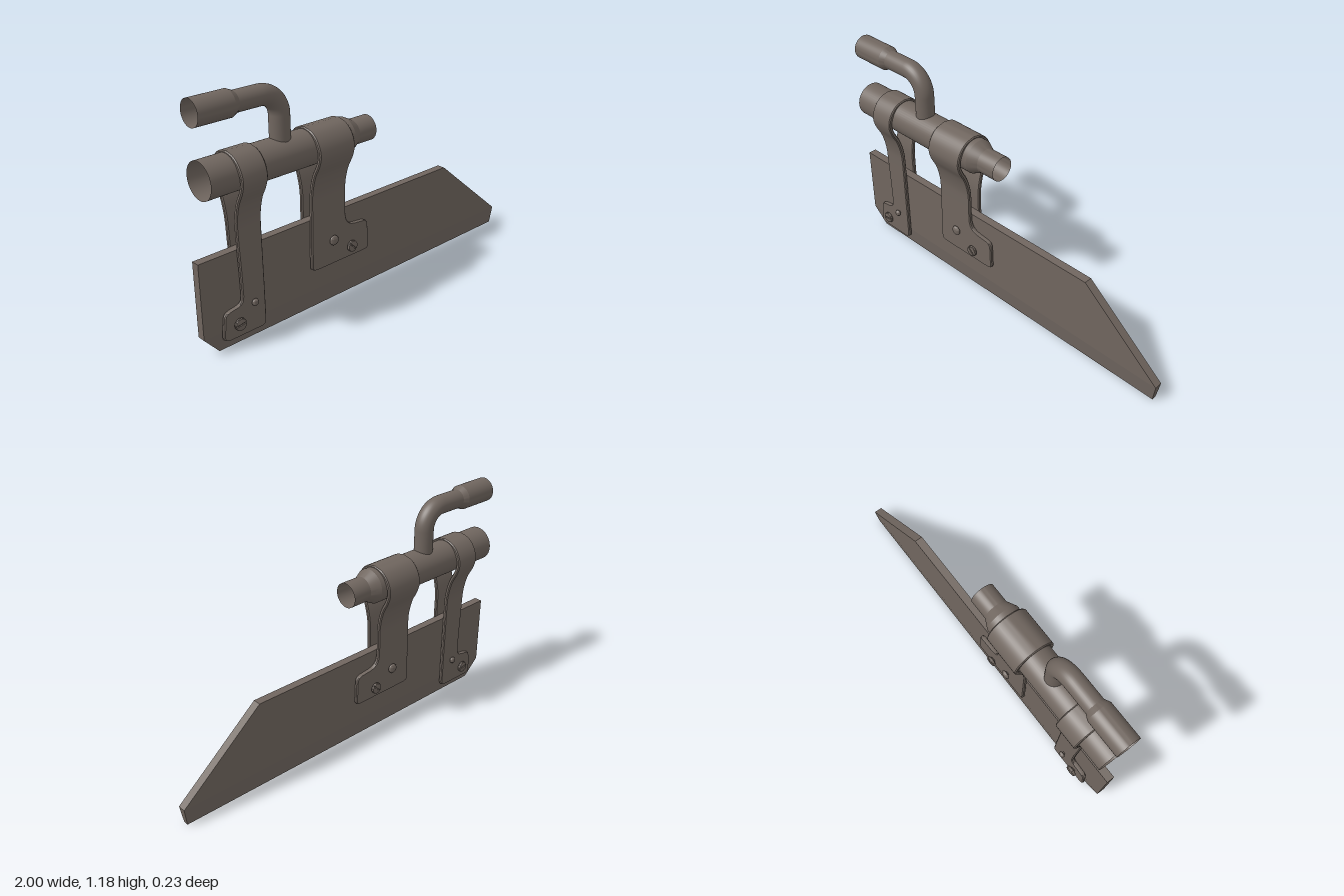
import * as THREE from 'three';
import { toCreasedNormals } from 'three/addons/utils/BufferGeometryUtils.js';

const V3 = (x, y, z) => new THREE.Vector3(x, y, z);
const V2 = (x, y) => new THREE.Vector2(x, y);
const steel = new THREE.MeshStandardMaterial({ color: 0x70665f });
const openSteel = new THREE.MeshStandardMaterial({ color: 0x70665f, side: THREE.DoubleSide });

function part(name, geometry, material = steel) {
  const mesh = new THREE.Mesh(geometry, material);
  mesh.name = name;
  return mesh;
}

// Round body along x from [x, radius] pairs
function pipe(profile) {
  const geo = new THREE.LatheGeometry(profile.map(([x, r]) => V2(r, x)), 48);
  return toCreasedNormals(geo.rotateZ(-Math.PI / 2), 0.35);
}

// Flat slab of the blade; the z half-thickness depends on height
function slab(points, halfAt) {
  const geo = new THREE.ExtrudeGeometry(new THREE.Shape(points.map(p => V2(...p))), { depth: 1, bevelEnabled: false });
  const pos = geo.attributes.position;
  for (let i = 0; i < pos.count; i++) pos.setZ(i, (pos.getZ(i) - 0.5) * 2 * halfAt(pos.getY(i)));
  return toCreasedNormals(geo, 0.1);
}

// Side profile of a strap, from above the pipe down to the flat leg
const bend = new THREE.CatmullRomCurve3([
  [0, 0.912], [0.05, 0.899], [0.086, 0.862], [0.102, 0.81], [0.09, 0.76],
  [0.062, 0.705], [0.046, 0.655], [0.036, 0.6], [0.034, 0.55],
].map(([z, y]) => V3(0, y, z)));

// Strap swept over the pipe; rows of [y, left edge, right edge] give its outline
function strap(rows) {
  const edges = y => {
    let i = 1;
    while (i < rows.length - 1 && rows[i][0] > y) i++;
    const a = rows[i - 1], b = rows[i];
    const t = THREE.MathUtils.clamp((a[0] - y) / (a[0] - b[0]), 0, 1);
    return [a[1] + (b[1] - a[1]) * t, a[2] + (b[2] - a[2]) * t];
  };
  const half = bend.getSpacedPoints(32).map(p => [p.z, p.y]);
  rows.filter(r => r[0] < 0.54).forEach(r => half.push([0.034, r[0]]));
  const path = [...half].reverse().concat(half.slice(1).map(([z, y]) => [-z, y]));

  const h = 0.0105, c = 0.005, n = 8, pos = [], index = [];
  path.forEach(([z, y], i) => {
    const p = path[Math.max(i - 1, 0)], q = path[Math.min(i + 1, path.length - 1)];
    const t = V2(q[0] - p[0], q[1] - p[1]).normalize();
    const [l, r] = edges(y);
    const ring = [[r, -h + c], [r, h - c], [r - c, h], [l + c, h], [l, h - c], [l, -h + c], [l + c, -h], [r - c, -h]];
    ring.forEach(([x, o]) => pos.push(x, y - t.x * o, z + t.y * o));
  });
  for (let i = 0; i < path.length - 1; i++) {
    for (let j = 0; j < n; j++) {
      const a = i * n + j, b = i * n + (j + 1) % n;
      index.push(a, a + n, b, b, a + n, b + n);
    }
  }
  const last = (path.length - 1) * n;
  for (let j = 1; j < n - 1; j++) index.push(0, j, j + 1, last, last + j + 1, last + j);
  const geo = new THREE.BufferGeometry();
  geo.setAttribute('position', new THREE.Float32BufferAttribute(pos, 3));
  geo.setIndex(index);
  return toCreasedNormals(geo, 0.5);
}

// Fastener parts point along +z from z = 0
const turned = profile => toCreasedNormals(
  new THREE.LatheGeometry(profile.map(p => V2(...p)), 28).rotateX(Math.PI / 2), 0.6);

function slottedScrew(r, slotAngle) {
  const g = new THREE.Group();
  g.name = 'slottedScrew';
  g.add(part('screwHead', turned([[0, 0], [r * 0.85, 0], [r, 0.003], [r, 0.01], [0, 0.01]])));
  // Two raised halves leave the slot between them
  const a = 0.17, s = new THREE.Shape();
  s.absarc(0, 0, r - 0.003, a, Math.PI - a, false);
  for (const turn of [0, Math.PI]) {
    const geo = new THREE.ExtrudeGeometry(s, {
      depth: 0.003, bevelThickness: 0.003, bevelSize: 0.003, bevelOffset: -0.001, bevelSegments: 2, curveSegments: 16,
    });
    const cap = part('screwHeadHalf', toCreasedNormals(geo.translate(0, 0, 0.01), 0.6));
    cap.rotation.z = slotAngle + turn;
    g.add(cap);
  }
  return g;
}

function rivet(r) {
  const dome = [[0, 0], [r * 0.8, 0], [r, 0.003], [r, 0.007]];
  for (let i = 1; i <= 6; i++) {
    const t = i / 6 * Math.PI / 2;
    dome.push([r * Math.cos(t), 0.007 + 0.013 * Math.sin(t)]);
  }
  return part('rivet', turned(dome));
}

// A fastener on both faces, joined by a pin through the blade
function bothFaces(group, x, y, r, make) {
  for (const side of [1, -1]) {
    const f = make();
    f.position.set(x, y, side * 0.051);
    if (side < 0) f.rotation.y = Math.PI;
    group.add(f);
  }
  const pin = part('pin', new THREE.CylinderGeometry(r * 0.4, r * 0.4, 0.106, 16).rotateX(Math.PI / 2));
  pin.position.set(x, y, 0);
  group.add(pin);
}

export function createModel() {
  const model = new THREE.Group();
  model.name = 'bladeTool';

  // Blade: flat body above, tapered lower edge below
  const blade = new THREE.Group();
  blade.name = 'blade';
  const ledge = 0.093;
  blade.add(part('bladeBody', slab(
    [[-1, ledge], [1, ledge], [0.555, 0.466], [-1, 0.466]], () => 0.021)));
  blade.add(part('bladeEdge', slab(
    [[-0.92, 0], [0.987, 0], [1, ledge], [-1, ledge]], y => 0.013 + 0.008 * y / ledge)));
  model.add(blade);

  // Main pipe with a stepped-down end
  const main = part('mainPipe', pipe([[-0.95, 0.088], [-0.15, 0.088], [-0.1, 0.063], [0.005, 0.063]]), openSteel);
  main.position.y = 0.825;
  model.add(main);

  // Bent handle with a wider sleeve
  const sx = -0.523, hy = 1.122, bendR = 0.105, k = bendR * 0.45;
  const path = new THREE.CurvePath();
  path.add(new THREE.LineCurve3(V3(sx, 0.88, 0), V3(sx, hy - bendR, 0)));
  path.add(new THREE.CubicBezierCurve3(V3(sx, hy - bendR, 0), V3(sx, hy - k, 0), V3(sx - k, hy, 0), V3(sx - bendR, hy, 0)));
  path.add(new THREE.LineCurve3(V3(sx - bendR, hy, 0), V3(-0.79, hy, 0)));
  model.add(part('handlePipe', new THREE.TubeGeometry(path, 64, 0.048, 32), openSteel));
  const sleeve = part('handleSleeve', pipe([[-0.97, 0.062], [-0.785, 0.062], [-0.757, 0.048]]), openSteel);
  sleeve.position.y = hy;
  model.add(sleeve);

  // Narrow strap, its toe pointing right
  const narrow = new THREE.Group();
  narrow.name = 'narrowStrap';
  narrow.add(part('strapBand', strap([
    [0.922, -0.815, -0.68], [0.6, -0.811, -0.679], [0.5, -0.808, -0.678], [0.35, -0.802, -0.677],
    [0.24, -0.8, -0.676], [0.217, -0.804, -0.676], [0.204, -0.815, -0.676], [0.197, -0.835, -0.676],
    [0.192, -0.868, -0.676], [0.186, -0.888, -0.676], [0.176, -0.898, -0.676], [0.16, -0.902, -0.676],
    [0.075, -0.91, -0.676], [0.062, -0.908, -0.678], [0.055, -0.9, -0.684], [0.051, -0.885, -0.696],
  ])));
  bothFaces(narrow, -0.83, 0.12, 0.03, () => slottedScrew(0.03, 0.15));
  bothFaces(narrow, -0.743, 0.197, 0.017, () => rivet(0.017));
  model.add(narrow);

  // Wide strap, its toe pointing left
  const wide = new THREE.Group();
  wide.name = 'wideStrap';
  wide.add(part('strapBand', strap([
    [0.922, -0.39, -0.178], [0.6, -0.39, -0.179], [0.5, -0.391, -0.18], [0.435, -0.392, -0.179],
    [0.41, -0.393, -0.173], [0.392, -0.393, -0.161], [0.38, -0.393, -0.142], [0.374, -0.393, -0.115],
    [0.368, -0.394, -0.058], [0.362, -0.394, -0.044], [0.352, -0.394, -0.036], [0.335, -0.394, -0.033],
    [0.23, -0.396, -0.029], [0.219, -0.394, -0.03], [0.213, -0.386, -0.034], [0.209, -0.374, -0.046],
  ])));
  bothFaces(wide, -0.152, 0.266, 0.029, () => slottedScrew(0.029, -0.8));
  bothFaces(wide, -0.268, 0.337, 0.025, () => rivet(0.025));
  model.add(wide);

  return model;
}
